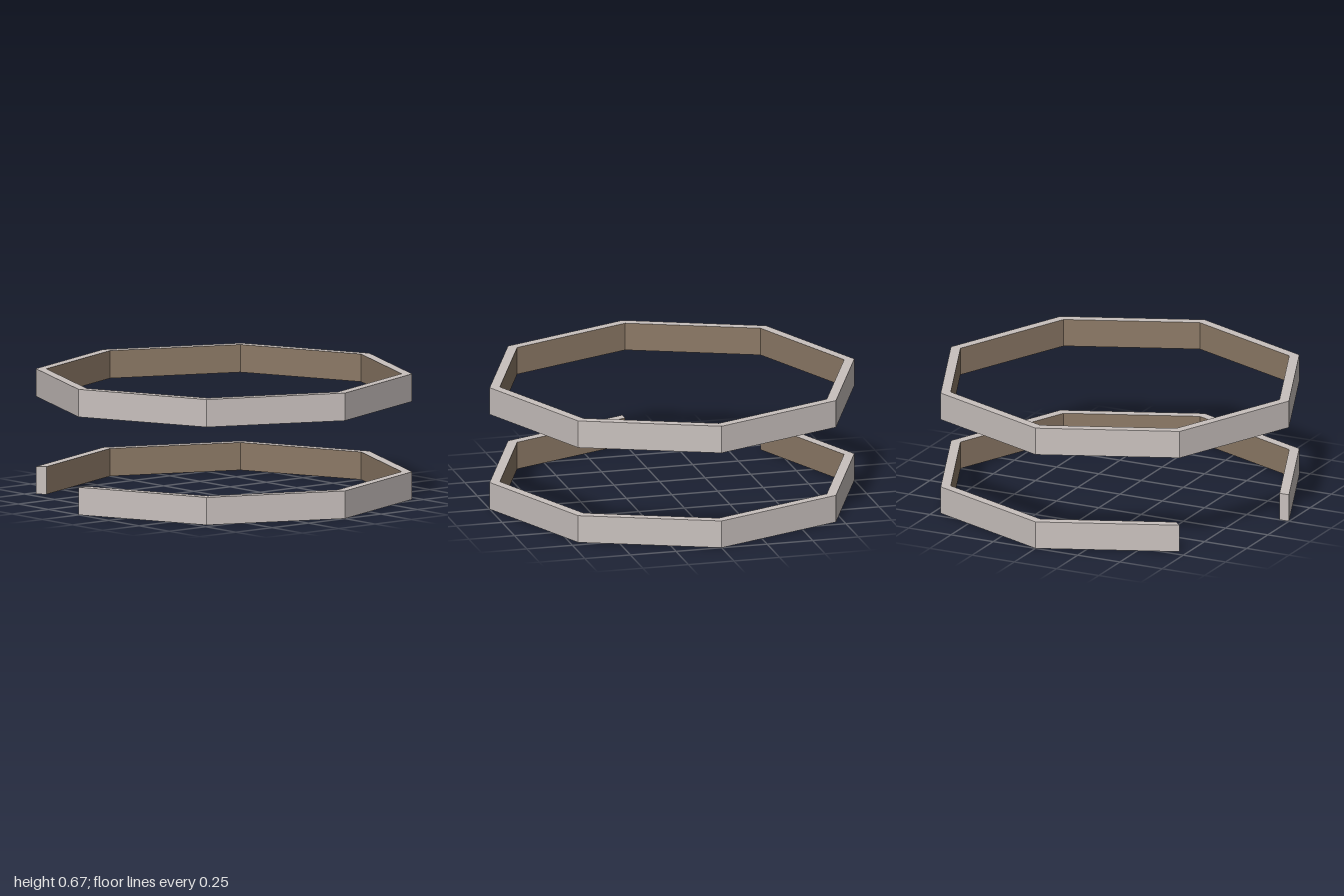
import * as THREE from 'three';

const SIDES = 8, OUTER = 1, INNER = 0.944, HEIGHT = 0.148;

const makeMaterial = (name, color) => {
  const m = new THREE.MeshStandardMaterial({ color });
  m.name = name;
  return m;
};

// Octagonal band of `count` straight segments, starting at +z and turning towards +x.
// Group 0 holds the outside, rims and ends; group 1 the inner wall.
function bandGeometry(count) {
  const sections = [];
  for (let i = 0; i <= count; i++) {
    const a = (i / SIDES) * Math.PI * 2;
    const corner = (r, y) => [Math.sin(a) * r, y, Math.cos(a) * r];
    sections.push([corner(OUTER, 0), corner(OUTER, HEIGHT), corner(INNER, HEIGHT), corner(INNER, 0)]);
  }
  const shell = [], lining = [];
  const quad = (list, a, b, c, d) => list.push(...a, ...b, ...c, ...a, ...c, ...d);
  for (let i = 0; i < count; i++) {
    const p = sections[i], q = sections[i + 1];
    for (let j = 0; j < 4; j++) {
      const k = (j + 1) % 4;
      quad(j === 2 ? lining : shell, p[j], q[j], q[k], p[k]);
    }
  }
  // End faces of an open band
  if (count < SIDES) {
    quad(shell, ...sections[0]);
    quad(shell, ...[...sections[count]].reverse());
  }
  const geometry = new THREE.BufferGeometry();
  geometry.setAttribute('position', new THREE.Float32BufferAttribute([...shell, ...lining], 3));
  geometry.addGroup(0, shell.length / 3, 0);
  geometry.addGroup(shell.length / 3, lining.length / 3, 1);
  geometry.computeVertexNormals();
  return geometry;
}

export function createModel() {
  const group = new THREE.Group();
  const materials = [makeMaterial('paleGrey', 0xc9c1be), makeMaterial('brown', 0x8c7966)];

  const addBand = (name, count, y) => {
    const band = new THREE.Mesh(bandGeometry(count), materials);
    band.name = name;
    band.position.y = y;
    group.add(band);
  };

  addBand('lowerOpenBand', SIDES - 1, 0); // one segment missing at the front
  addBand('upperBand', SIDES, 0.524);
  return group;
}
